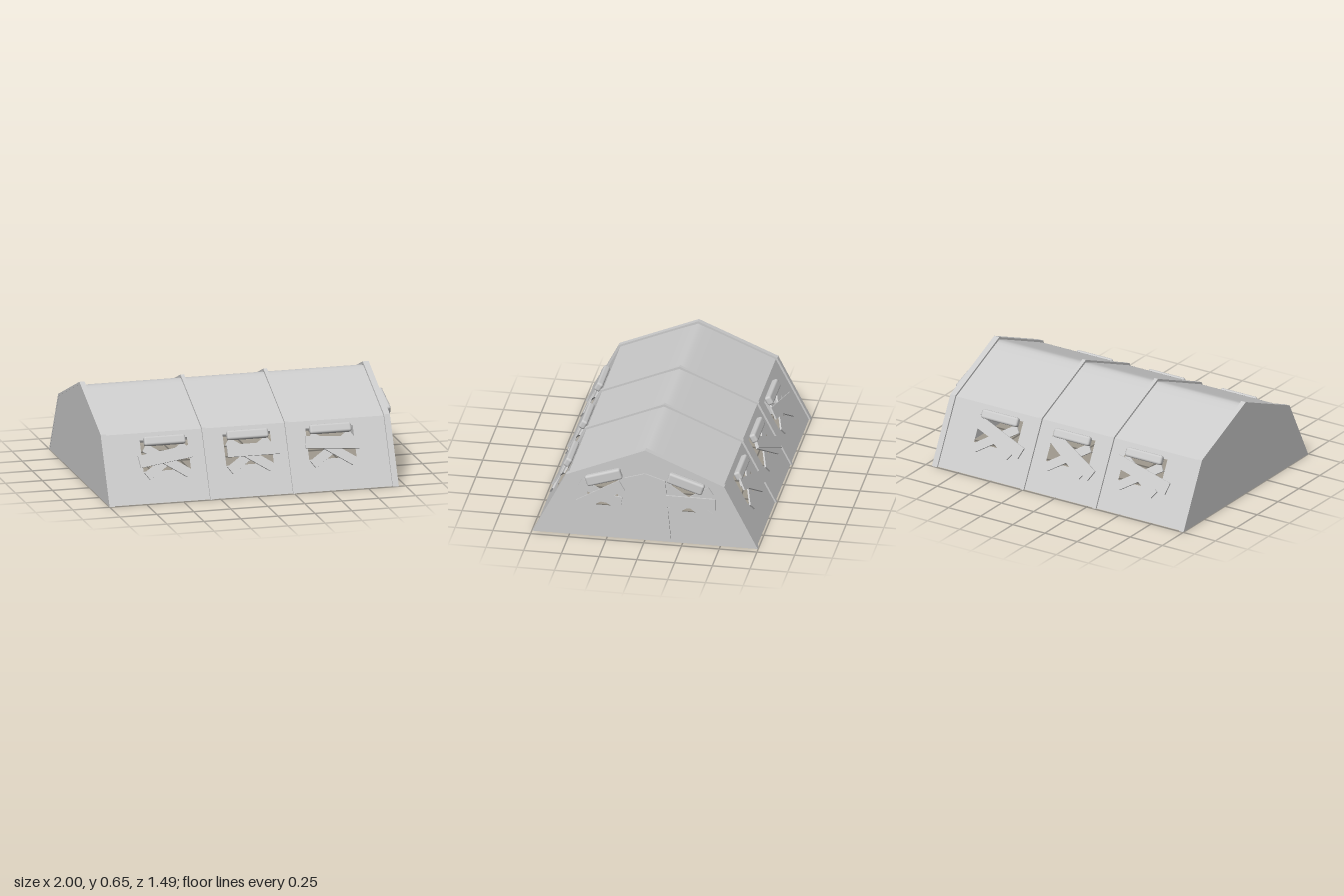
import * as THREE from 'three';
import { RoundedBoxGeometry } from 'three/addons/geometries/RoundedBoxGeometry.js';

const grey = new THREE.MeshStandardMaterial({ color: 0xcccccc, side: THREE.DoubleSide });
const X0 = -0.985, X1 = 0.94; // cloth span along x
const BASE = 0.735, EAVE_Z = 0.515, EAVE_Y = 0.42, RIDGE = 0.637;
const SLOPE = Math.hypot(EAVE_Y, BASE - EAVE_Z); // height of a side wall along its lean
const LEAN = Math.atan2(BASE - EAVE_Z, EAVE_Y);

function add(parent, name, geometry, x = 0, y = 0, z = 0, tilt = 0) {
  const mesh = new THREE.Mesh(geometry, grey);
  mesh.name = name;
  mesh.position.set(x, y, z);
  mesh.rotation.z = tilt;
  parent.add(mesh);
  return mesh;
}

const polygon = (points) => points.map(([x, y]) => new THREE.Vector2(x, y));
const extrude = (shape, depth) => new THREE.ExtrudeGeometry(shape, { depth, bevelEnabled: false });
const rad = THREE.MathUtils.degToRad;

// Rolled-up cover over crossed planks; planks are [x, y, length, width, degrees]
function boardedWindow(parent, cover, planks) {
  const group = new THREE.Group();
  group.name = 'boardedWindow';
  const [cx, cy, length, width, degrees] = cover;
  add(group, 'rolledCover', new RoundedBoxGeometry(length, width, 0.045, 2, 0.015), cx, cy, 0.0225, rad(degrees));
  planks.forEach(([x, y, l, w, d], i) =>
    add(group, 'plank', new THREE.BoxGeometry(l, w, 0.011), x, y, 0.009 + i * 0.011, rad(d)));
  parent.add(group);
}

// Leaning side wall with three window openings, drawn in its own plane
function sideWall(name, facing, wideBoards) {
  const turn = new THREE.Group();
  turn.name = name;
  turn.rotation.y = facing > 0 ? 0 : Math.PI;
  const wall = new THREE.Group();
  wall.position.z = BASE;
  wall.rotation.x = -LEAN;
  turn.add(wall);

  const shape = new THREE.Shape(polygon([[X0, 0], [X1, 0], [X1, SLOPE], [X0, SLOPE]].map(([x, y]) => [x * facing, y])));
  wideBoards.forEach(([dx, y, length, degrees], i) => {
    const x = (-0.58 + 0.56 * i) * facing;
    shape.holes.push(new THREE.Path(polygon([[x - 0.16, 0.215], [x - 0.16, 0.425], [x + 0.16, 0.425], [x + 0.16, 0.215]])));
    boardedWindow(wall, [x, 0.41, 0.28, 0.062, 0], [
      [x, 0.275, 0.34, 0.06, 34],
      [x, 0.275, 0.34, 0.06, -34],
      [x + dx * facing, y, length, 0.082, degrees * facing],
    ]);
  });
  add(wall, 'wallCloth', new THREE.ShapeGeometry(shape));
  return turn;
}

// Gable outline, inset by d
const gable = (d) => [[-0.747 + d, 0], [0.747 - d, 0], [0.525 - d, 0.43 - d * 0.8],
  [0, 0.65 - d * 1.2], [-0.525 + d, 0.43 - d * 0.8]];

function endWall(name, x) {
  const end = new THREE.Group();
  end.name = name;
  end.rotation.y = Math.PI / 2;
  end.position.x = x;
  return end;
}

export function createModel() {
  const tent = new THREE.Group();
  tent.name = 'tent';

  // Roof cloth with a softly rounded ridge
  const roof = new THREE.PlaneGeometry(X1 - X0, EAVE_Z * 2, 1, 40).rotateX(-Math.PI / 2);
  const p = roof.attributes.position;
  const pitch = (RIDGE - EAVE_Y) / EAVE_Z;
  for (let i = 0; i < p.count; i++) {
    p.setY(i, RIDGE - pitch * Math.hypot(p.getZ(i), 0.025));
  }
  roof.computeVertexNormals();
  add(tent, 'roof', roof, (X0 + X1) / 2);

  // Side walls; wide boards are [x shift, height, length, degrees]
  tent.add(sideWall('frontWall', 1, [[-0.01, 0.3, 0.36, 8], [0.03, 0.305, 0.36, 0], [0, 0.315, 0.36, -4]]));
  tent.add(sideWall('backWall', -1, [[-0.02, 0.29, 0.44, 13], [-0.04, 0.29, 0.4, 28], [-0.03, 0.29, 0.41, 20]]));

  // Frame ribs: [start x, width]
  for (const [x, width] of [[-1, 0.035], [-0.317, 0.025], [0.243, 0.025], [0.915, 0.04]]) {
    const inner = gable(0.014);
    const outer = gable(0);
    const band = new THREE.Shape(polygon([outer[1], outer[2], outer[3], outer[4], outer[0],
      inner[0], inner[4], inner[3], inner[2], inner[1]]));
    const rib = add(tent, 'rib', extrude(band, width), x);
    rib.rotation.y = Math.PI / 2;
  }

  // Closed end
  const closed = endWall('closedEnd', -0.999);
  add(closed, 'endCloth', new THREE.ShapeGeometry(new THREE.Shape(polygon(gable(0.002)))));
  tent.add(closed);

  // Door end with two windows under the roof slope
  const doorEnd = endWall('doorEnd', 0.955);
  const face = new THREE.Shape(polygon(gable(0)));
  for (const s of [-1, 1]) {
    face.holes.push(new THREE.Path(polygon([[0.18 * s, 0.23], [0.38 * s, 0.23], [0.38 * s, 0.39], [0.18 * s, 0.46]])));
    const flap = new THREE.Shape(polygon([[0.003 * s, 0.03], [0.172 * s, 0.03], [0.135 * s, 0.442], [0.003 * s, 0.484]]));
    add(doorEnd, 'doorFlap', extrude(flap, 0.01));
  }
  add(doorEnd, 'endCloth', new THREE.ShapeGeometry(face));
  boardedWindow(doorEnd, [-0.27, 0.445, 0.245, 0.075, 18], [
    [-0.29, 0.31, 0.32, 0.06, -30], [-0.25, 0.29, 0.2, 0.06, -8], [-0.29, 0.315, 0.33, 0.08, 30]]);
  boardedWindow(doorEnd, [0.275, 0.445, 0.245, 0.075, -18], [
    [0.3, 0.31, 0.33, 0.06, 33], [0.3, 0.305, 0.33, 0.06, -33], [0.31, 0.312, 0.33, 0.08, 0]]);
  tent.add(doorEnd);

  return tent;
}
